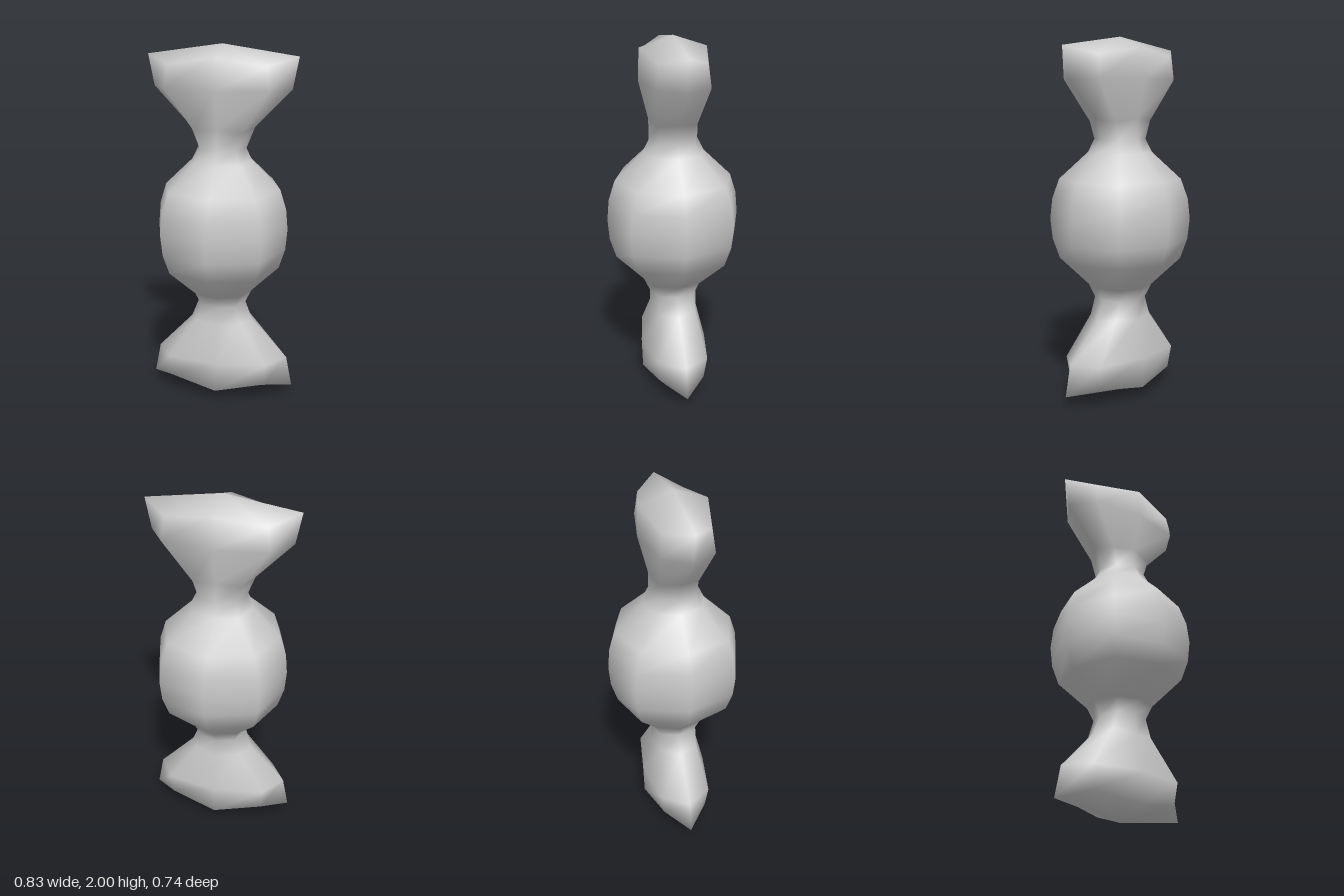
import * as THREE from 'three';

// Eight-sided rings of the upper half, from the middle up:
// [y, x radius, z radius, diagonal x, diagonal z, diagonal y]
const UPPER = [
  [1.0, 0.37, 0.37, 0.277, 0.277, 1.0],
  [1.115, 0.36, 0.36, 0.268, 0.268, 1.115],
  [1.225, 0.325, 0.325, 0.24, 0.24, 1.225],
  [1.375, 0.17, 0.17, 0.125, 0.125, 1.375],
  [1.447, 0.135, 0.135, 0.1, 0.1, 1.447],
  [1.56, 0.18, 0.135, 0.132, 0.102, 1.545],
  [1.77, 0.38, 0.188, 0.283, 0.141, 1.77],
  [1.94, 0.413, 0.182, 0.27, 0.124, 1.897],
];

// Mirror the upper rings about y = 1 for the lower half
const lower = UPPER.slice(1).reverse().map(([y, x, z, dx, dz, dy]) => [2 - y, x, z, dx, dz, 2 - dy]);
const RINGS = [...lower, ...UPPER];
const SIDES = 8;

// Closed skin over the rings, with a point in the middle of each end
function loftRings(rings) {
  const positions = [];
  const index = [];
  for (const [y, x, z, dx, dz, dy] of rings) {
    for (let i = 0; i < SIDES; i++) {
      const a = (i / SIDES) * Math.PI * 2;
      const sx = Math.sign(Math.round(Math.cos(a) * 10));
      const sz = Math.sign(Math.round(Math.sin(a) * 10));
      if (i % 2) positions.push(sx * dx, dy, sz * dz);
      else positions.push(sx * x, y, sz * z);
    }
  }
  const bottom = rings.length * SIDES;
  const top = bottom + 1;
  const last = (rings.length - 1) * SIDES;
  positions.push(0, 0, 0, 0, 2, 0);

  for (let i = 0; i < SIDES; i++) {
    const j = (i + 1) % SIDES;
    for (let r = 0; r < rings.length - 1; r++) {
      const a = r * SIDES + i, b = r * SIDES + j;
      const c = a + SIDES, d = b + SIDES;
      index.push(a, c, b, b, c, d);
    }
    index.push(bottom, i, j);
    index.push(top, last + j, last + i);
  }

  const geometry = new THREE.BufferGeometry();
  geometry.setAttribute('position', new THREE.Float32BufferAttribute(positions, 3));
  geometry.setIndex(index);
  geometry.computeVertexNormals();
  return geometry;
}

export function createModel() {
  const group = new THREE.Group();
  group.name = 'wrappedCandy';

  // Round sweet and both twisted ends are one continuous smooth wrapper
  const wrapper = new THREE.Mesh(
    loftRings(RINGS),
    new THREE.MeshStandardMaterial({ color: 0xcccccc })
  );
  wrapper.name = 'wrapper';
  group.add(wrapper);
  return group;
}
